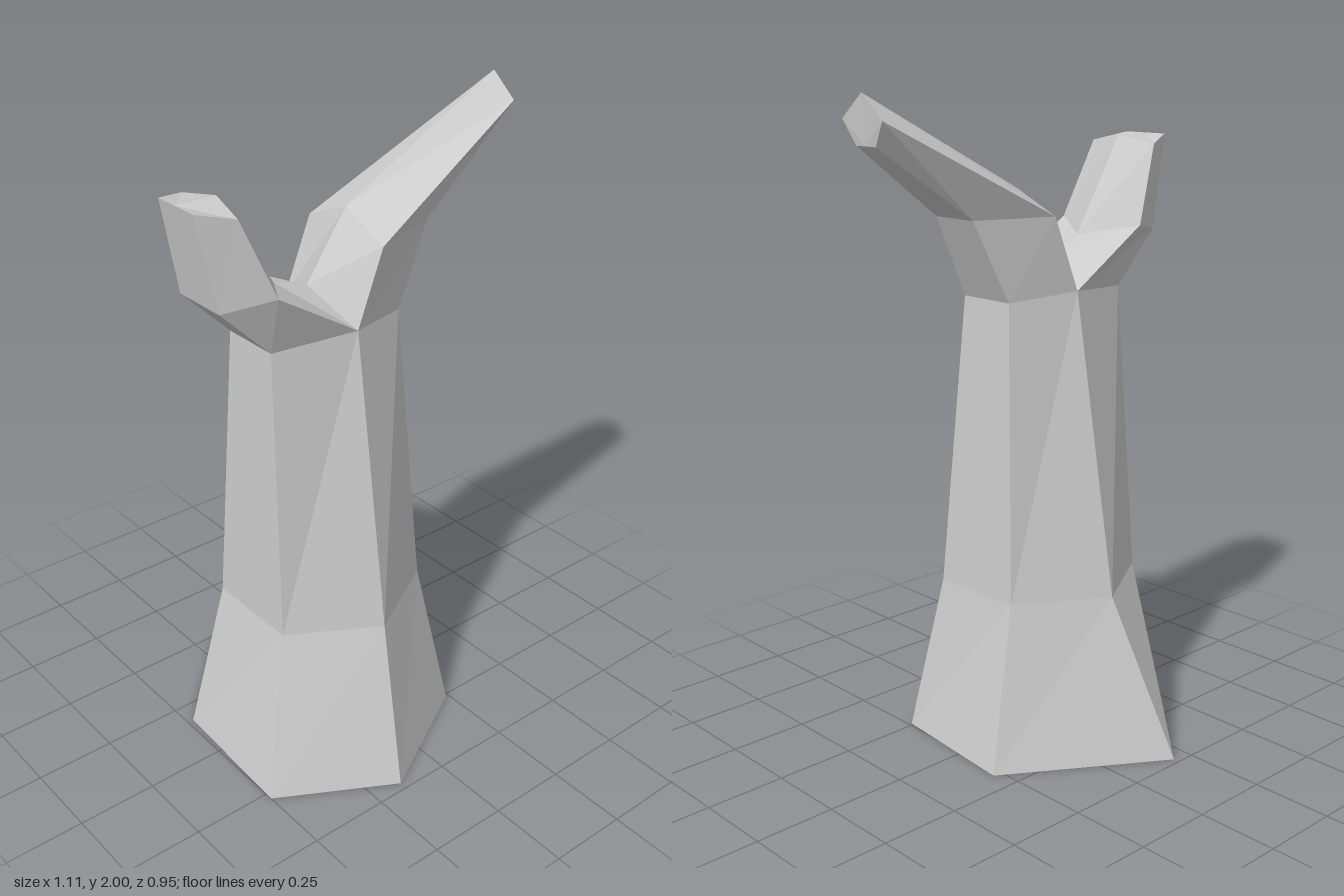
import * as THREE from 'three';

const MID_Z = 0.02; // symmetry plane of the branches

// Skin between successive rings, with an optional fan that closes the last ring.
function loft(name, rings, capCentre) {
  const pos = [];
  const tri = (...pts) => pts.forEach((p) => pos.push(...p));
  const n = rings[0].length;
  for (let r = 0; r < rings.length - 1; r++) {
    for (let i = 0; i < n; i++) {
      const j = (i + 1) % n;
      const a = rings[r][i], b = rings[r][j], c = rings[r + 1][j], d = rings[r + 1][i];
      tri(a, b, c);
      tri(a, c, d);
    }
  }
  if (capCentre) {
    const last = rings[rings.length - 1];
    last.forEach((p, i) => tri(p, last[(i + 1) % n], capCentre));
  }
  const geo = new THREE.BufferGeometry();
  geo.setAttribute('position', new THREE.Float32BufferAttribute(pos, 3));
  geo.computeVertexNormals();
  const mesh = new THREE.Mesh(geo, new THREE.MeshStandardMaterial({
    color: 0xcccccc, flatShading: true, side: THREE.DoubleSide,
  }));
  mesh.name = name;
  return mesh;
}

// Five-sided branch. Each section: top [x, y], side [x, y, halfWidth], low [x, y, halfWidth].
function branch(name, sections, reverse) {
  const rings = sections.map(([t, s, l]) => {
    const ring = [
      [t[0], t[1], MID_Z],
      [s[0], s[1], MID_Z + s[2]],
      [l[0], l[1], MID_Z + l[2]],
      [l[0], l[1], MID_Z - l[2]],
      [s[0], s[1], MID_Z - s[2]],
    ];
    return reverse ? ring.reverse() : ring;
  });
  const low = sections[sections.length - 1][2];
  return loft(name, rings, [low[0], low[1], MID_Z]);
}

export function createModel() {
  const group = new THREE.Group();
  group.name = 'treeStump';

  // Six-sided trunk, flared and open at the foot
  group.add(loft('trunk', [
    [[-0.5, 0, 0.275], [-0.15, 0, 0.475], [0.24, 0, 0.26],
      [0.28, 0, -0.175], [-0.19, 0, -0.48], [-0.48, 0, -0.175]],
    [[-0.37, 0.5, 0.18], [-0.105, 0.5, 0.335], [0.165, 0.5, 0.18],
      [0.165, 0.5, -0.13], [-0.105, 0.5, -0.29], [-0.37, 0.5, -0.13]],
    [[-0.34, 1.4, 0.115], [-0.09, 1.42, 0.185], [0.12, 1.4, 0.115],
      [0.12, 1.4, -0.075], [-0.09, 1.42, -0.145], [-0.34, 1.4, -0.075]],
  ]));

  // Both branches share the crotch of the fork
  const crotch = [-0.14, 1.515], fork = [-0.09, 1.42, 0.165];

  group.add(branch('longBranch', [
    [crotch, fork, [0.12, 1.4, 0.095]],
    [[0, 1.715], [0, 1.645, 0.163], [0.24, 1.645, 0.078]],
    [[0.556, 2], [0.556, 1.93, 0.086], [0.545, 1.86, 0.042]],
  ], false));

  group.add(branch('shortBranch', [
    [crotch, fork, [-0.34, 1.4, 0.095]],
    [[-0.255, 1.555], [-0.36, 1.59, 0.163], [-0.5, 1.56, 0.09]],
    [[-0.432, 1.848], [-0.455, 1.825, 0.127], [-0.558, 1.848, 0.078]],
  ], true));

  return group;
}
